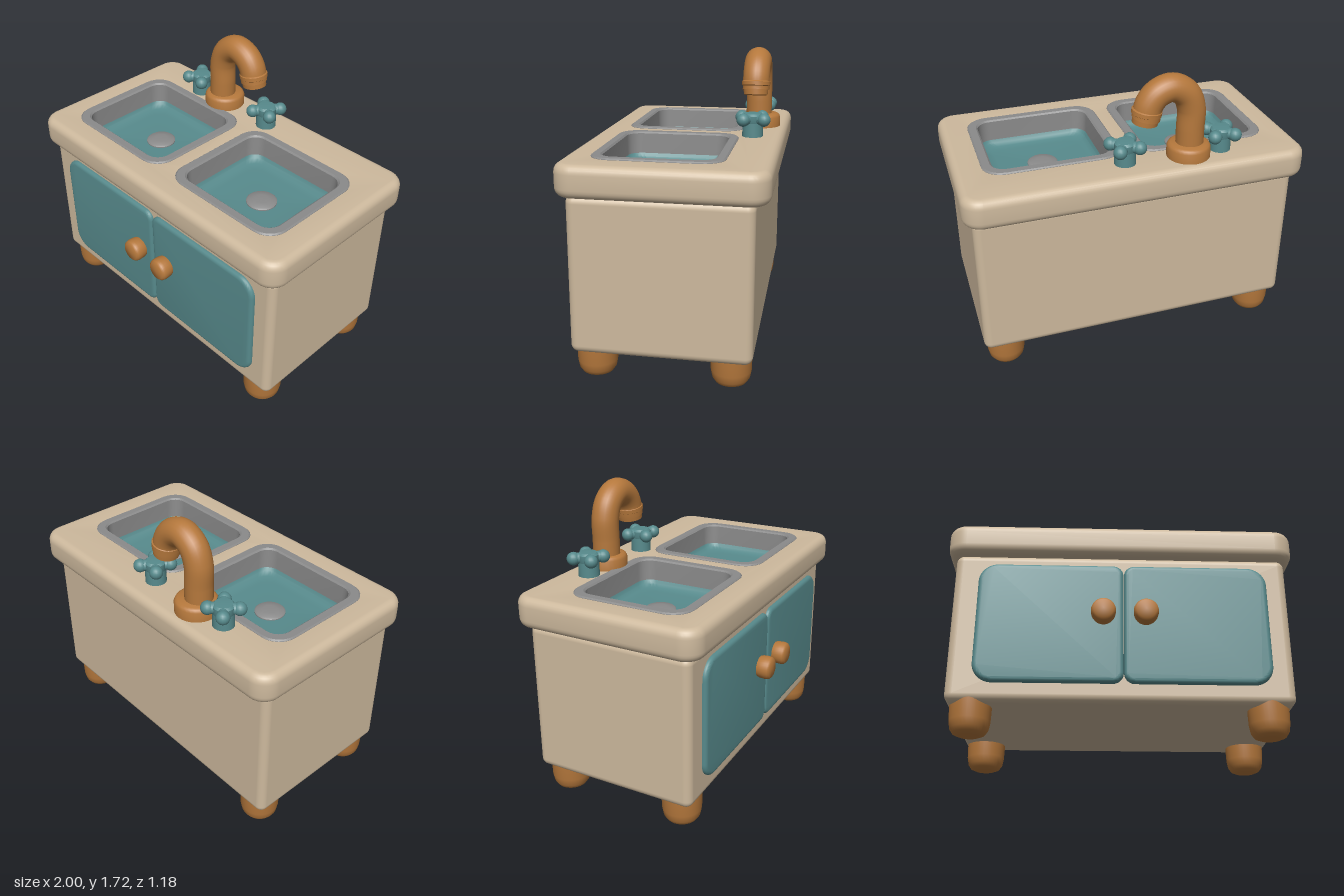
import * as THREE from 'three';
import { toCreasedNormals } from 'three/addons/utils/BufferGeometryUtils.js';
import { RoundedBoxGeometry } from 'three/addons/geometries/RoundedBoxGeometry.js';

const material = (name, color) => {
  const m = new THREE.MeshStandardMaterial({ color });
  m.name = name;
  return m;
};

// Rounded rectangle outline; left and right corners may have different radii
function roundedRect(path, x0, y0, x1, y1, rl, rr = rl) {
  const P = Math.PI;
  path.moveTo(x0 + rl, y0);
  path.lineTo(x1 - rr, y0);
  path.absarc(x1 - rr, y0 + rr, rr, -P / 2, 0);
  path.lineTo(x1, y1 - rr);
  path.absarc(x1 - rr, y1 - rr, rr, 0, P / 2);
  path.lineTo(x0 + rl, y1);
  path.absarc(x0 + rl, y1 - rl, rl, P / 2, P);
  path.lineTo(x0, y0 + rl);
  path.absarc(x0 + rl, y0 + rl, rl, P, P * 1.5);
  return path;
}

// Skin over rounded-rectangle rings, each [half width, half depth, corner radius, y]
function loft(rings) {
  const steps = 6, n = 4 * (steps + 1), pos = [], index = [];
  rings.forEach(([w, d, r, y]) => {
    for (let c = 0; c < 4; c++) {
      const sx = c === 0 || c === 3 ? 1 : -1, sz = c < 2 ? 1 : -1;
      for (let i = 0; i <= steps; i++) {
        const a = (c + i / steps) * Math.PI / 2;
        pos.push(sx * (w - r) + r * Math.cos(a), y, sz * (d - r) + r * Math.sin(a));
      }
    }
  });
  for (let k = 0; k < rings.length - 1; k++) {
    for (let i = 0; i < n; i++) {
      const j = (i + 1) % n, a = k * n, b = a + n;
      index.push(a + i, b + i, a + j, a + j, b + i, b + j);
    }
  }
  const g = new THREE.BufferGeometry();
  g.setAttribute('position', new THREE.Float32BufferAttribute(pos, 3));
  g.setIndex(index);
  return toCreasedNormals(g, 0.6);
}

const lathe = (points, segments = 32) =>
  toCreasedNormals(new THREE.LatheGeometry(points.map(p => new THREE.Vector2(...p)), segments), 0.7);

export function createModel() {
  const beige = material('beige', 0xcdb99d);
  const teal = material('teal', 0x578a8c);
  const wood = material('warm brown', 0xb5783c);
  const grey = material('grey', 0x8a8a8a);

  const model = new THREE.Group();
  model.name = 'sinkCabinet';
  const add = (name, geometry, mat, x = 0, y = 0, z = 0, parent = model) => {
    const mesh = new THREE.Mesh(geometry, mat);
    mesh.name = name;
    mesh.position.set(x, y, z);
    parent.add(mesh);
    return mesh;
  };

  // Cabinet
  add('cabinetBody', new RoundedBoxGeometry(1.9, 0.89, 0.995, 5, 0.045), beige, 0, 0.605, -0.018);

  // Countertop with two openings
  const basins = [-0.448, 0.438], basinZ = 0.027;
  const top = roundedRect(new THREE.Shape(), -1, -0.59, 1, 0.54, 0.11);
  basins.forEach(x => top.holes.push(
    roundedRect(new THREE.Path(), x - 0.345, basinZ - 0.312, x + 0.345, basinZ + 0.312, 0.085)));
  const counter = new THREE.ExtrudeGeometry(top, {
    depth: 0.08, bevelThickness: 0.05, bevelSize: 0.045, bevelOffset: -0.045, bevelSegments: 6, curveSegments: 8,
  });
  counter.rotateX(Math.PI / 2);
  add('countertop', toCreasedNormals(counter, 0.5), beige, 0, 1.17, 0);

  // Basins: grey rim and wall, teal bowl, drain
  const rim = loft([
    [0.4, 0.364, 0.12, 1.2], [0.4, 0.364, 0.12, 1.222], [0.392, 0.356, 0.115, 1.229],
    [0.35, 0.316, 0.085, 1.229], [0.34, 0.307, 0.08, 1.22], [0.335, 0.302, 0.08, 1.1],
  ]);
  const bowl = loft([
    [0.335, 0.302, 0.08, 1.1], [0.325, 0.292, 0.08, 1.08], [0.3, 0.267, 0.08, 1.066],
    [0.26, 0.227, 0.08, 1.06], [0.002, 0.002, 0.001, 1.06],
  ]);
  const drain = lathe([[0.09, 0], [0.09, 0.01], [0.08, 0.018], [0.04, 0.022], [0, 0.023]]);
  basins.forEach(x => {
    add('basinRim', rim, grey, x, 0, basinZ);
    add('basinBowl', bowl, teal, x, 0, basinZ);
    add('drain', drain, grey, Math.sign(x) * 0.44, 1.056, 0.022);
  });

  // Doors, softer at their outer corners
  const door = (x0, x1, rl, rr) => toCreasedNormals(new THREE.ExtrudeGeometry(
    roundedRect(new THREE.Shape(), x0, 0.265, x1, 0.98, rl, rr), {
      depth: 0.03, bevelThickness: 0.022, bevelSize: 0.025, bevelOffset: -0.025, bevelSegments: 5, curveSegments: 8,
    }), 0.5);
  add('rightDoor', door(-0.81, 0.012, 0.11, 0.06), teal, 0, 0, 0.454);
  add('leftDoor', door(0.014, 0.83, 0.06, 0.11), teal, 0, 0, 0.454);

  // Door knobs
  const knob = lathe([[0.062, 0], [0.068, 0.02], [0.07, 0.055], [0.066, 0.074], [0.055, 0.084], [0, 0.087]]);
  knob.rotateX(Math.PI / 2);
  [-0.102, 0.135].forEach(x => add('doorKnob', knob, wood, x, 0.668, 0.5));

  // Feet
  const foot = lathe([[0, 0], [0.06, 0.002], [0.088, 0.014], [0.104, 0.038], [0.112, 0.08], [0.116, 0.2]]);
  for (const x of [-0.815, 0.812]) {
    for (const z of [0.36, -0.39]) add('foot', foot, wood, x, 0, z);
  }

  // Faucet
  const faucet = new THREE.Group();
  faucet.name = 'faucet';
  faucet.position.set(-0.318, 0, -0.412);
  model.add(faucet);
  add('faucetBase', lathe([[0.125, 1.21], [0.125, 1.278], [0.118, 1.293], [0.105, 1.3], [0, 1.3]]),
    wood, 0.008, 0, -0.01, faucet);
  const spout = new THREE.CatmullRomCurve3([
    [0, 1.25], [0, 1.38], [0, 1.51], [0.037, 1.598], [0.118, 1.643], [0.2, 1.618], [0.248, 1.56], [0.266, 1.48],
  ].map(([x, y]) => new THREE.Vector3(x, y, 0)));
  add('faucetSpout', new THREE.TubeGeometry(spout, 48, 0.08, 24), wood, 0, 0, 0, faucet);
  const nozzle = add('faucetNozzle', lathe([
    [0, -0.042], [0.06, -0.042], [0.072, -0.038], [0.075, 0.012], [0.085, 0.018], [0.085, 0.04], [0.076, 0.047], [0, 0.047],
  ]), wood, 0.266, 1.49, 0, faucet);
  nozzle.rotation.z = 0.16;

  // Tap handles: stem with a four-lobed cross
  const stem = lathe([[0.062, 1.21], [0.06, 1.33], [0, 1.33]], 24);
  const hub = lathe([[0, -0.034], [0.055, -0.034], [0.062, -0.02], [0.062, 0.02], [0.05, 0.032], [0, 0.036]], 24);
  const arm = new THREE.CapsuleGeometry(0.033, 0.17, 6, 14);
  arm.rotateZ(Math.PI / 2);
  const lobe = new THREE.SphereGeometry(0.039, 16, 12);
  [[-0.511, 0.78], [0.064, 0.95]].forEach(([x, turn]) => {
    const tap = new THREE.Group();
    tap.name = 'tapHandle';
    tap.position.set(x, 0, -0.408);
    tap.rotation.y = turn;
    model.add(tap);
    add('tapStem', stem, teal, 0, 0, 0, tap);
    add('tapHub', hub, teal, 0, 1.326, 0, tap);
    for (let i = 0; i < 4; i++) {
      const a = i * Math.PI / 2;
      if (i < 2) add('tapArm', arm, teal, 0, 1.326, 0, tap).rotation.y = a;
      add('tapLobe', lobe, teal, 0.086 * Math.cos(a), 1.326, 0.086 * Math.sin(a), tap);
    }
  });

  return model;
}
